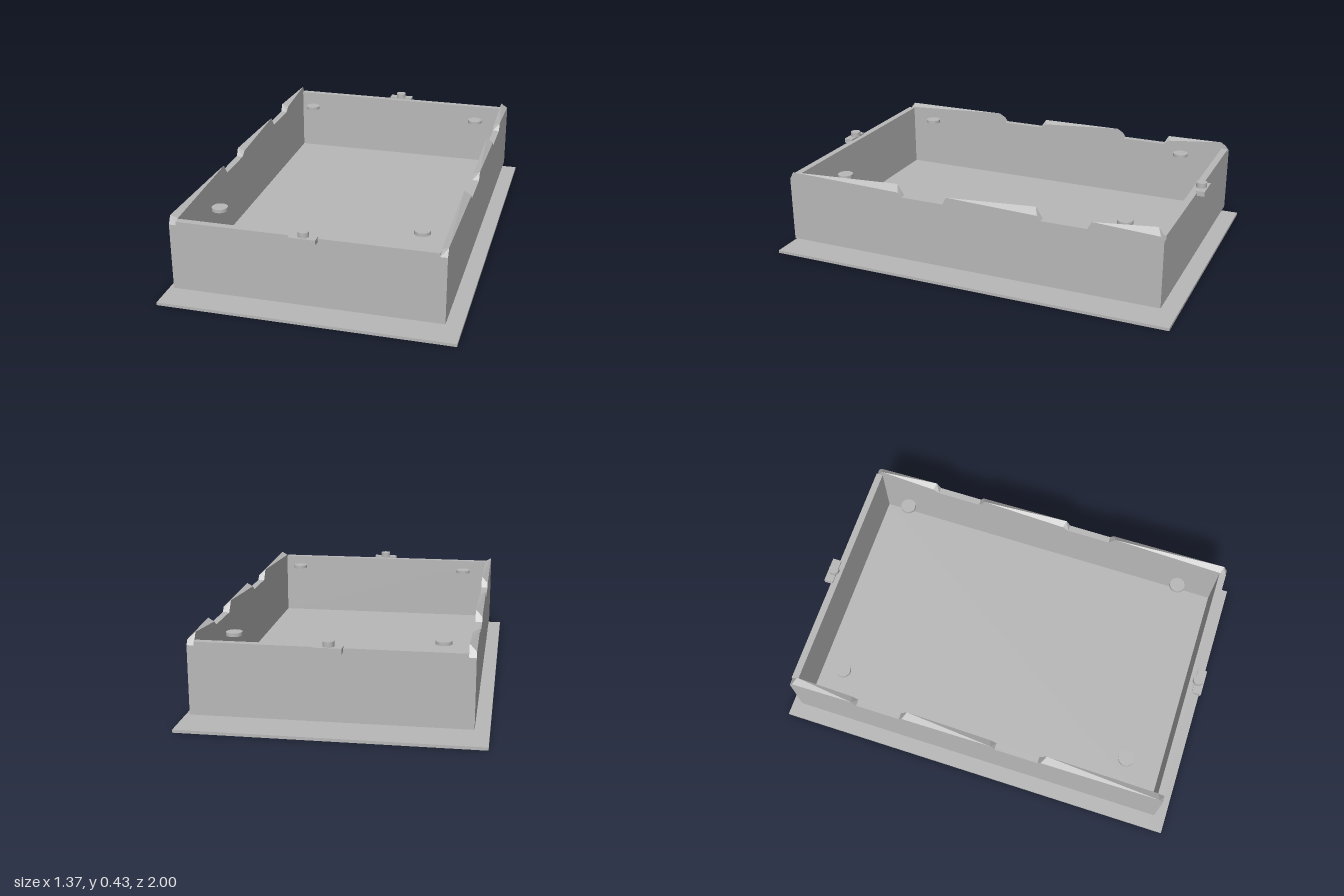
import * as THREE from 'three';
import { ConvexGeometry } from 'three/addons/geometries/ConvexGeometry.js';

export function createModel() {
  const model = new THREE.Group();
  model.name = 'tray';
  const grey = new THREE.MeshStandardMaterial({ color: 0xb8b8b8 });
  grey.name = 'grey';

  const add = (name, geometry, x = 0, y = 0, z = 0) => {
    const mesh = new THREE.Mesh(geometry, grey);
    mesh.name = name;
    mesh.position.set(x, y, z);
    model.add(mesh);
  };
  // Box given by its lower and upper corner heights and its plan size
  const box = (name, w, y0, y1, d, x = 0, z = 0) =>
    add(name, new THREE.BoxGeometry(w, y1 - y0, d), x, (y0 + y1) / 2, z);
  const disc = (name, r, y0, y1, x, z) =>
    add(name, new THREE.CylinderGeometry(r, r, y1 - y0, 32), x, (y0 + y1) / 2, z);

  const outX = 0.622, inX = 0.59, outZ = 0.94, inZ = 0.907;
  const bottom = 0.066, notch = 0.383, rim = 0.4;

  // Base plate and tray floor
  box('basePlate', 1.37, 0, 0.014, 2);
  box('floor', inX * 2, bottom, 0.075, inZ * 2);

  // Feet below the floor and the small discs level with the rim
  for (const x of [-0.47, 0.47]) {
    for (const z of [-0.72, 0.72]) {
      disc('foot', 0.044, 0.014, bottom, x, z);
      disc('rimDisc', 0.037, 0.373, 0.389, x, z);
    }
  }

  // End walls, each with a tab and an upright pin
  for (const s of [-1, 1]) {
    box('endWall', inX * 2, bottom, rim, outZ - inZ, 0, s * (outZ + inZ) / 2);
    box('tab', 0.124, 0.384, 0.408, 0.044, 0, s * 0.954);
    disc('pin', 0.025, 0.408, 0.432, 0, s * 0.945);
  }

  // Wedge-topped tooth: its ridge runs from the outer front to the inner back
  const tooth = (s, front, back) => {
    const points = [
      [outX, notch, front], [inX, notch, front],
      [outX, notch, back], [inX, notch, back],
      [outX, 0.42, front - 0.02], [inX, 0.405, front - 0.03],
      [outX, 0.405, back + 0.016], [inX, 0.434, back + 0.035],
    ].map(([x, y, z]) => new THREE.Vector3(s * x, y, z));
    add('rimTooth', new ConvexGeometry(points));
  };

  // Side walls with three teeth along the top
  for (const s of [-1, 1]) {
    box('sideWall', outX - inX, bottom, notch, outZ * 2, s * (outX + inX) / 2, 0);
    tooth(s, outZ, 0.325);
    tooth(s, 0.11, -0.375);
    tooth(s, -0.595, -outZ);
  }
  return model;
}
